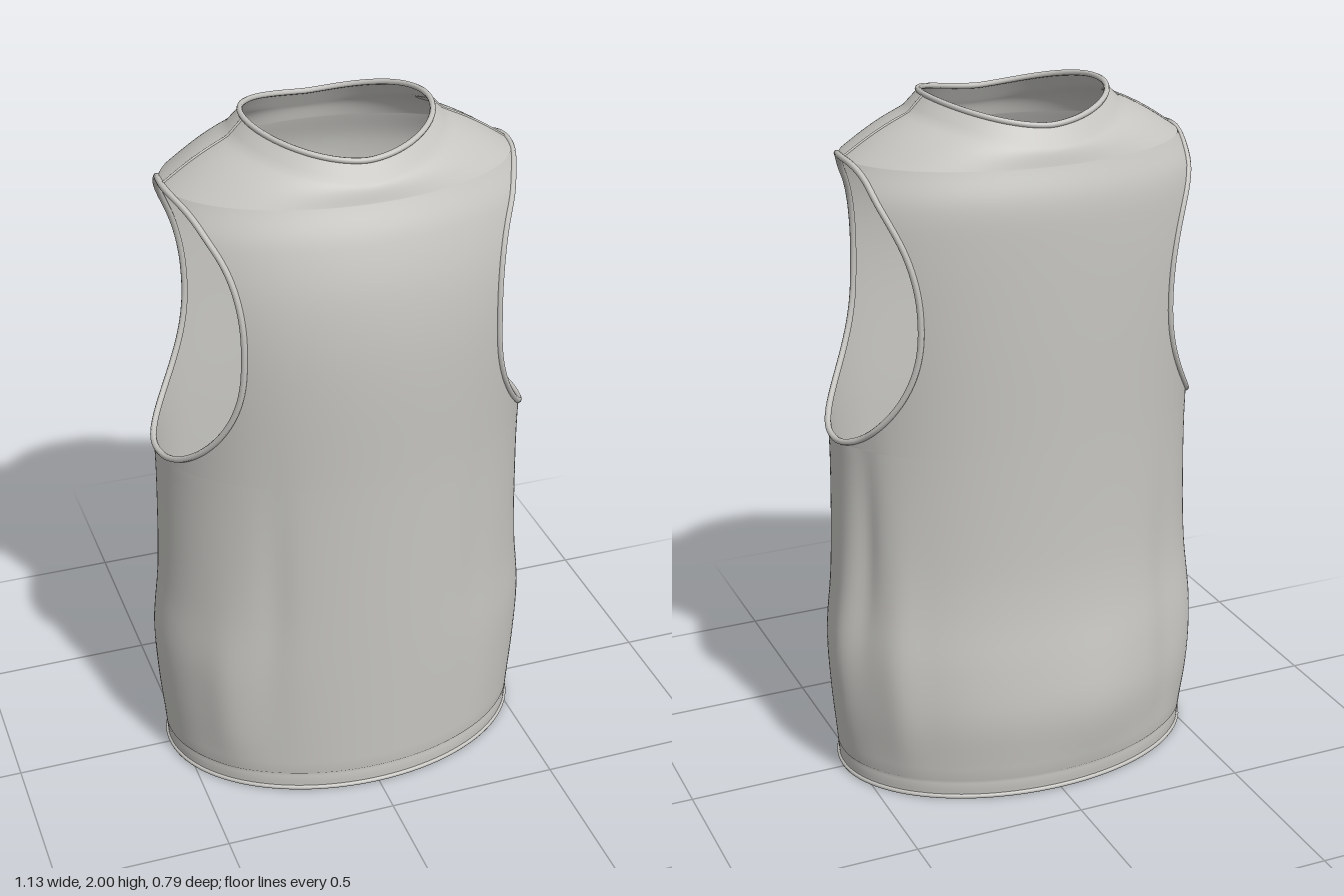
import * as THREE from 'three';
import { mergeVertices } from 'three/addons/utils/BufferGeometryUtils.js';

// Smooth function through (height, value) pairs
function profile(points) {
  return (y) => {
    let i = 0;
    while (i < points.length - 2 && y > points[i + 1][0]) i++;
    const slope = (j) => {
      const a = points[Math.max(j - 1, 0)], b = points[Math.min(j + 1, points.length - 1)];
      return (b[1] - a[1]) / (b[0] - a[0]);
    };
    const [x0, v0] = points[i], [x1, v1] = points[i + 1];
    const h = x1 - x0, t = THREE.MathUtils.clamp((y - x0) / h, 0, 1);
    const t2 = t * t, t3 = t2 * t;
    return (2 * t3 - 3 * t2 + 1) * v0 + (t3 - 2 * t2 + t) * h * slope(i)
      + (3 * t2 - 2 * t3) * v1 + (t3 - t2) * h * slope(i + 1);
  };
}

const halfWidth = profile([[0, 0.535], [0.1, 0.543], [0.25, 0.556], [0.42, 0.562], [0.6, 0.545],
  [0.8, 0.537], [1.05, 0.536], [1.45, 0.56], [1.6, 0.562], [1.75, 0.54], [1.84, 0.487]]);
const frontDepth = profile([[0, 0.378], [0.5, 0.383], [1, 0.386], [1.4, 0.393], [1.6, 0.375],
  [1.75, 0.333], [1.84, 0.29]]);
const backDepth = profile([[0, 0.362], [0.1, 0.372], [0.25, 0.386], [0.4, 0.372], [0.55, 0.35],
  [0.7, 0.338], [1, 0.335], [1.4, 0.34], [1.68, 0.338], [1.76, 0.33], [1.84, 0.304]]);

// Armhole outline
const TOP = 1.84, BOTTOM = 1.05;
const HOLE_Y = (TOP + BOTTOM) / 2, HOLE_H = (TOP - BOTTOM) / 2;

// Angle at which a panel's edge lies at height y
function edgeAngle(y, front) {
  const d = Math.min(1, Math.abs(y - HOLE_Y) / HOLE_H);
  if (y < BOTTOM || d > 0.99999) return 0;
  const z = (front ? 0.3 : 0.255) * Math.pow(1 - Math.pow(d, 2.3), 1 / 2.3);
  return Math.asin(z / (front ? frontDepth(y) : backDepth(y)));
}

// Soft cloth folds: angle, angular width, height, vertical spread, amount
const folds = [
  [0.98, 0.1, 0.6, 0.35, -0.007], [2.15, 0.09, 0.65, 0.35, -0.009], [2.42, 0.14, 0.3, 0.3, 0.012],
  [5.9, 0.1, 0.75, 0.3, -0.016], [6.12, 0.13, 0.4, 0.3, 0.012], [5.62, 0.12, 0.4, 0.35, 0.012],
  [4.5, 0.22, 0.25, 0.2, 0.01], [3.95, 0.13, 0.45, 0.35, -0.012], [3.65, 0.15, 0.3, 0.25, 0.008],
];
function foldOffset(angle, y) {
  let sum = 0;
  for (const [a, w, h, s, amount] of folds) {
    let da = Math.abs(angle - a);
    da = Math.min(da, Math.PI * 2 - da);
    sum += amount * Math.exp(-((da / w) ** 2) - ((y - h) / s) ** 2);
  }
  return sum * Math.min(1, y / 0.15);
}

function wallPoint(angle, y) {
  const c = Math.cos(angle), s = Math.sin(angle);
  const groove = Math.abs(y - 0.055) < 0.001 ? -0.004 : 0;
  const off = foldOffset(angle, y) + groove;
  const depth = s >= 0 ? frontDepth(y) : backDepth(y);
  return new THREE.Vector3((halfWidth(y) + off) * c, y, (depth + off) * s);
}

function neckPoint(angle) {
  const c = Math.cos(angle), s = Math.sin(angle);
  return new THREE.Vector3(0.256 * c, 1.939 + 0.053 * Math.pow(Math.abs(c), 1.6), -0.01 + 0.25 * s);
}

function collarPoint(angle) {
  const c = Math.cos(angle), s = Math.sin(angle);
  return new THREE.Vector3(0.302 * c, 1.886 + 0.06 * Math.pow(Math.abs(c), 1.6), -0.009 + 0.281 * s);
}

// Shoulder yoke, k = 0 at the armhole top, 0.7 at the collar seam, 1 at the neckline
function yokePoint(angle, k) {
  if (k > 0.7) return collarPoint(angle).lerp(neckPoint(angle), (k - 0.7) / 0.3);
  const a = k / 0.7;
  const p = wallPoint(angle, TOP).lerp(collarPoint(angle), a);
  p.y += Math.sin(Math.PI * a) * 0.007;
  return p;
}

// Front and back panels share their side seams
function buildBody() {
  const rows = [0, 0.025, 0.05, 0.055, 0.06];
  for (let i = 1; i <= 26; i++) rows.push(0.06 + (BOTTOM - 0.06) * i / 26);
  for (let i = 1; i <= 40; i++) rows.push(HOLE_Y - HOLE_H * Math.cos(Math.PI * i / 40));
  const wallRows = rows.length;
  for (let i = 1; i <= 14; i++) rows.push(i / 14);
  const cols = 72, position = [], index = [];
  for (const front of [true, false]) {
    const start = position.length / 3;
    rows.forEach((r, i) => {
      const wall = i < wallRows;
      const e = wall ? edgeAngle(r, front) : 0;
      for (let j = 0; j <= cols; j++) {
        const angle = (front ? 0 : Math.PI) + e + (Math.PI - 2 * e) * j / cols;
        const p = wall ? wallPoint(angle, r) : yokePoint(angle, r);
        position.push(p.x, p.y, p.z);
        if (i < rows.length - 1 && j < cols) {
          const a = start + i * (cols + 1) + j, b = a + cols + 1;
          index.push(a, b, a + 1, a + 1, b, b + 1);
        }
      }
    });
  }
  const geometry = new THREE.BufferGeometry();
  geometry.setAttribute('position', new THREE.Float32BufferAttribute(position, 3));
  geometry.setIndex(index);
  const merged = mergeVertices(geometry, 1e-4);
  merged.computeVertexNormals();
  return merged;
}

export function createModel() {
  const group = new THREE.Group();
  group.name = 'sleevelessTop';
  const cloth = new THREE.MeshStandardMaterial({ color: 0xc6c5c1, side: THREE.DoubleSide });
  cloth.name = 'light grey cloth';

  const add = (name, geometry) => {
    const mesh = new THREE.Mesh(geometry, cloth);
    mesh.name = name;
    group.add(mesh);
  };
  const piping = (name, points, radius, closed = true) => {
    const curve = new THREE.CatmullRomCurve3(points, closed);
    add(name, new THREE.TubeGeometry(curve, closed ? 120 : 20, radius, 8, closed));
  };
  const ring = (fn) => Array.from({ length: 72 }, (_, i) => fn(Math.PI * 2 * i / 72));

  add('body', buildBody());

  // Rolled edges
  piping('neckBinding', ring(neckPoint), 0.008);
  piping('hemBinding', ring((a) => wallPoint(a, 0.007)), 0.007);

  for (const side of [1, -1]) {
    const label = side > 0 ? 'left' : 'right';
    const outline = [];
    for (let i = 0; i < 64; i++) {
      const t = Math.PI * 2 * i / 64;
      const y = HOLE_Y - HOLE_H * Math.cos(t);
      const front = t <= Math.PI;
      const e = edgeAngle(y, front) * (front ? 1 : -1);
      outline.push(wallPoint(side > 0 ? (e + Math.PI * 2) % (Math.PI * 2) : Math.PI - e, y));
    }
    piping(label + 'ArmholeBinding', outline, 0.009);

    // Seam across the top of the shoulder
    const seam = [];
    for (let i = 0; i <= 10; i++) seam.push(yokePoint(side > 0 ? 0 : Math.PI, i / 10));
    piping(label + 'ShoulderSeam', seam, 0.004, false);
  }
  return group;
}
